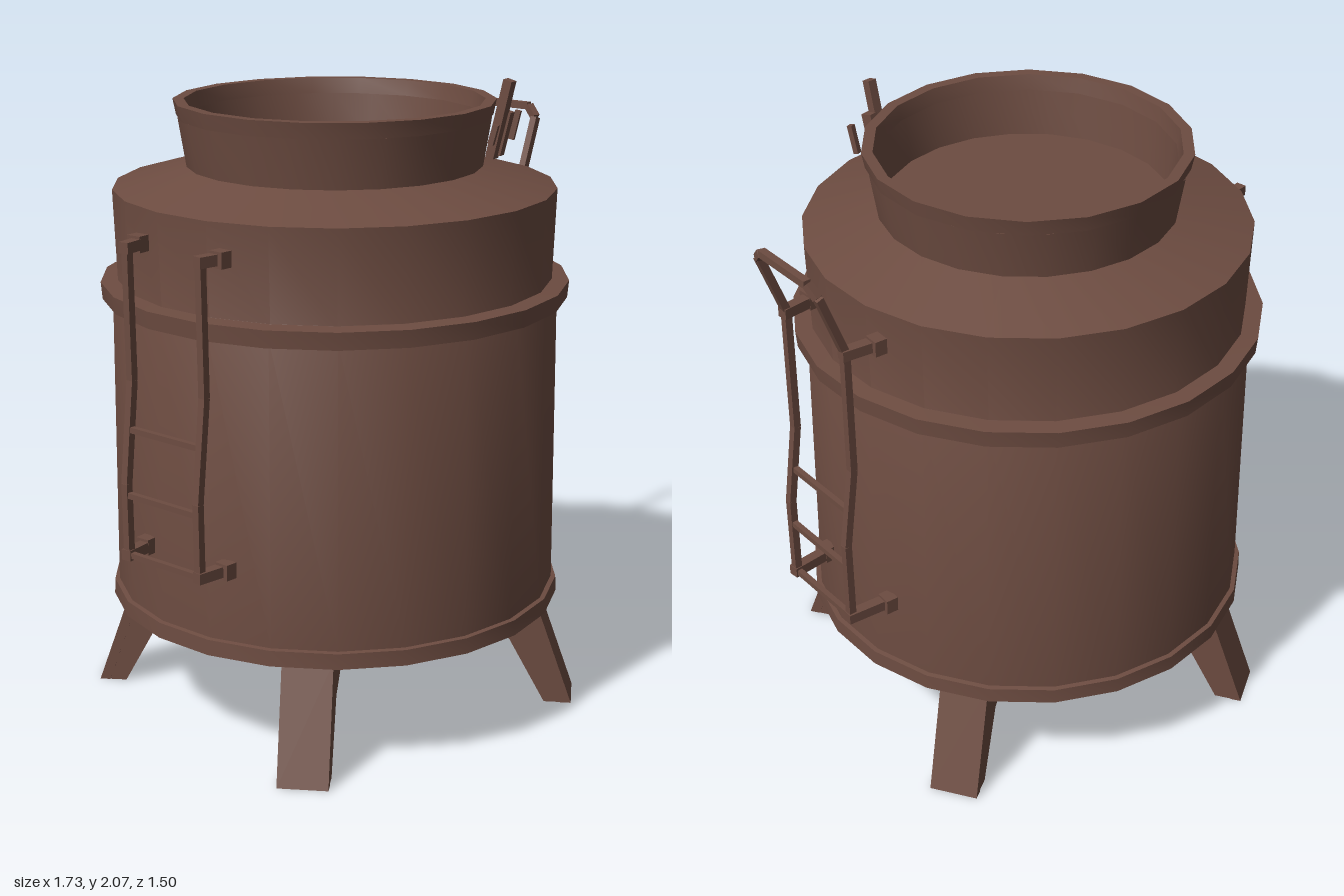
import * as THREE from 'three';
import { toCreasedNormals } from 'three/addons/utils/BufferGeometryUtils.js';

const brown = new THREE.MeshStandardMaterial({ color: 0x6d4c41 });
brown.name = 'brown metal';

const V = (x, y, z) => new THREE.Vector3(x, y, z);

function add(parent, name, geometry) {
  const mesh = new THREE.Mesh(geometry, brown);
  mesh.name = name;
  parent.add(mesh);
  return mesh;
}

// Solid of revolution with crisp edges, profile listed as [radius, height]
function turned(profile, sides) {
  const points = profile.map(([r, y]) => new THREE.Vector2(r, y));
  return toCreasedNormals(new THREE.LatheGeometry(points, sides), 0.5);
}

// Square bar between two points
function bar(parent, name, a, b, w = 0.022, h = w) {
  const mesh = add(parent, name, new THREE.BoxGeometry(w, h, a.distanceTo(b)));
  mesh.position.copy(a).add(b).multiplyScalar(0.5);
  mesh.lookAt(b);
  return mesh;
}

function path(parent, name, points, w) {
  for (let i = 1; i < points.length; i++) bar(parent, name, points[i - 1], points[i], w);
}

// Plate cut from a side outline, centred on the given z
function plate(outline, width, z) {
  const shape = new THREE.Shape(outline.map(([x, y]) => new THREE.Vector2(x, y)));
  const g = new THREE.ExtrudeGeometry(shape, { depth: width, bevelEnabled: false });
  return g.translate(0, 0, z - width / 2);
}

// Channel-shaped splayed leg with two braces running to the hub
function makeLeg() {
  const leg = new THREE.Group();
  leg.name = 'leg';
  add(leg, 'legOuterPlate', plate([[0.765, 0.01], [0.8, 0.01], [0.67, 0.38], [0.635, 0.38]], 0.16, 0));
  for (const s of [-1, 1]) {
    add(leg, 'legFlange', plate(
      [[0.78, 0.01], [0.65, 0.38], [0.44, 0.38], [0.47, 0.28], [0.59, 0.23], [0.71, 0.01]], 0.02, s * 0.068));
    bar(leg, 'brace', V(0.56, 0.265, s * 0.06), V(0.28, 0.295, s * 0.045), 0.015, 0.028);
    bar(leg, 'brace', V(0.28, 0.295, s * 0.045), V(0.06, 0.275, s * 0.03), 0.015, 0.028);
  }
  return leg;
}

// Ladder: two bent rails with wall brackets and rungs
function makeLadder(name, rail, wallX, rungs, loop) {
  const ladder = new THREE.Group();
  ladder.name = name;
  const first = rail[0];
  const bracketTop = rail[3];
  for (const s of [-1, 1]) {
    path(ladder, 'rail', rail.map(([x, y]) => V(x, y, s * 0.15)), 0.024);
    for (const [x, y] of [first, bracketTop]) {
      bar(ladder, 'bracket', V(wallX, y, s * 0.165), V(x + Math.sign(x) * 0.015, y, s * 0.15), 0.034);
      bar(ladder, 'bracketFoot', V(wallX, y, s * 0.17), V(wallX + Math.sign(x) * 0.04, y, s * 0.168), 0.05);
    }
  }
  for (const [x, y] of rungs) bar(ladder, 'rung', V(x, y, -0.15), V(x, y, 0.15), 0.018);
  // Grab loop leaning outwards above the rails
  if (loop) {
    path(ladder, 'grabLoop', [
      V(0.765, 1.64, 0.15), V(0.845, 1.85, 0.15), V(0.855, 1.885, 0.115),
      V(0.855, 1.885, -0.115), V(0.845, 1.85, -0.15), V(0.765, 1.64, -0.15)], 0.024);
  }
  return ladder;
}

export function createModel() {
  const model = new THREE.Group();
  model.name = 'tank';

  const vessel = new THREE.Group();
  vessel.name = 'vessel';
  vessel.position.x = -0.045;
  model.add(vessel);

  // Barrel, shoulder and open neck with a recessed floor
  add(vessel, 'tankBody', turned([
    [0, 0.38], [0.72, 0.38], [0.72, 0.43], [0.712, 1.4], [0.695, 1.44], [0.705, 1.73],
    [0.47, 1.795], [0.495, 1.95], [0.47, 1.95], [0.45, 1.8], [0, 1.8]], 22));
  add(vessel, 'baseBand', turned([
    [0.70, 0.38], [0.737, 0.38], [0.735, 0.43], [0.70, 0.435]], 22));
  add(vessel, 'middleBand', turned([
    [0.70, 1.385], [0.745, 1.38], [0.75, 1.435], [0.69, 1.44]], 22));
  add(vessel, 'neckRim', turned([
    [0.47, 1.95], [0.5, 1.95], [0.51, 2.0], [0.475, 2.0], [0.465, 1.95]], 18));

  // Underframe
  add(vessel, 'hub', new THREE.CylinderGeometry(0.085, 0.085, 0.12, 8)).position.y = 0.32;
  for (let i = 0; i < 4; i++) {
    const leg = makeLeg();
    leg.rotation.y = -(57 + i * 90) * Math.PI / 180;
    vessel.add(leg);
  }

  // Ladders on both sides
  model.add(makeLadder('leftLadder',
    [[0.795, 0.67], [0.798, 0.95], [0.762, 1.22], [0.765, 1.635]], 0.645,
    [[0.795, 0.67], [0.798, 0.865], [0.78, 1.07]], true));
  model.add(makeLadder('rightLadder',
    [[-0.848, 0.67], [-0.85, 0.9], [-0.815, 1.22], [-0.82, 1.63]], -0.735,
    [[-0.848, 0.67], [-0.85, 0.865], [-0.832, 1.07]], false));

  // Latch on the front of the neck rim
  const latch = new THREE.Group();
  latch.name = 'latch';
  latch.position.set(0.16, 1.94, 0.475);
  latch.rotation.y = 0.28;
  model.add(latch);
  bar(latch, 'latchBar', V(-0.12, 0.015, 0.015), V(0.13, 0.02, 0.015), 0.03);
  bar(latch, 'latchPlate', V(-0.04, -0.025, 0.01), V(0.1, -0.03, 0.01), 0.03, 0.04);
  bar(latch, 'latchHook', V(-0.1, 0.01, 0.02), V(-0.07, -0.045, 0.03), 0.018);
  bar(latch, 'latchHook', V(0.1, 0.03, 0.02), V(0.12, -0.06, 0.03), 0.018);

  return model;
}
